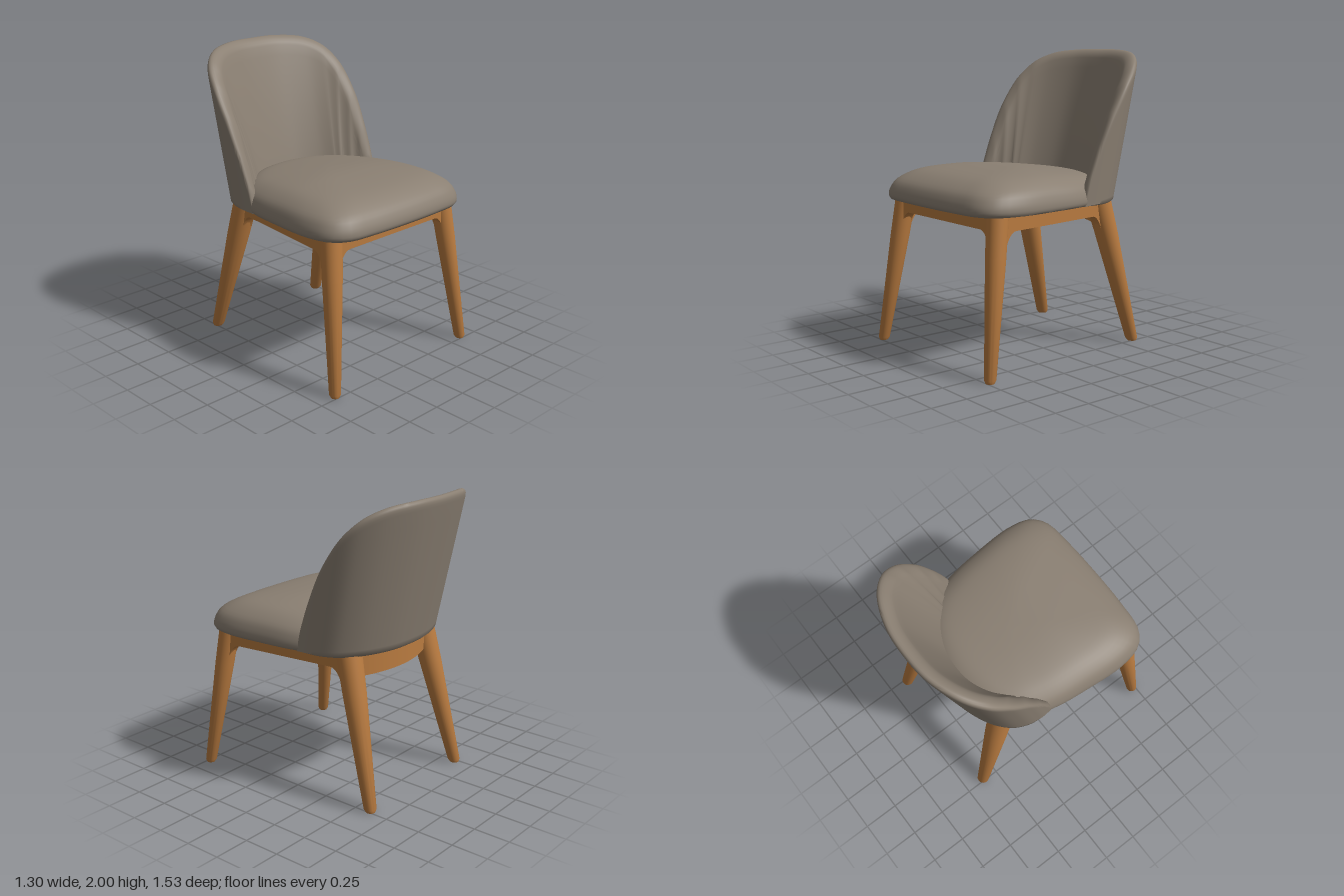
import * as THREE from 'three';
import { toCreasedNormals } from 'three/addons/utils/BufferGeometryUtils.js';

const V = (x, y, z) => new THREE.Vector3(x, y, z);
const step = THREE.MathUtils.smoothstep;

// Surface from rows x cols points; fn(i, j) returns a Vector3
function gridGeometry(rows, cols, fn, crease) {
  const pos = [], idx = [];
  for (let i = 0; i <= rows; i++)
    for (let j = 0; j <= cols; j++) pos.push(...fn(i, j).toArray());
  for (let i = 0; i < rows; i++)
    for (let j = 0; j < cols; j++) {
      const a = i * (cols + 1) + j, d = a + cols + 1;
      idx.push(a, a + 1, d + 1, a, d + 1, d);
    }
  const g = new THREE.BufferGeometry();
  g.setAttribute('position', new THREE.Float32BufferAttribute(pos, 3));
  g.setIndex(idx);
  return toCreasedNormals(g, crease);
}

// Domed cushion: one plan outline, stacked and shrunk upwards
function cushionGeometry() {
  const half = [[0.3, 0.757], [0.5, 0.732], [0.595, 0.655], [0.636, 0.49], [0.622, 0.2],
    [0.585, -0.07], [0.5, -0.3], [0.3, -0.46]];
  const pts = [V(0, 0, 0.765), ...half.map(([x, z]) => V(x, 0, z)), V(0, 0, -0.52),
    ...half.slice().reverse().map(([x, z]) => V(-x, 0, z))];
  const outline = new THREE.CatmullRomCurve3(pts, true);
  const profile = new THREE.SplineCurve([[0.985, 1.005], [1, 1.03], [0.985, 1.08], [0.93, 1.14],
    [0.79, 1.197], [0.6, 1.225], [0.32, 1.241], [0, 1.246]].map(p => new THREE.Vector2(...p)));
  const rows = 26, cols = 80;
  return gridGeometry(rows, cols, (i, j) => {
    const o = outline.getPointAt((j % cols) / cols);
    const p = i === 0 ? { x: 0, y: 1.003 } : i === 1 ? { x: 0.97, y: 1.003 }
      : profile.getPoint((i - 2) / (rows - 2));
    const s = Math.max(p.x, 0), z = o.z * s;
    const drop = 0.035 * step(-z, -0.25, 0.3) * (p.y - 1) / 0.245;
    return V(o.x * s, p.y - drop, z);
  }, 1.0);
}

// Wrap-around shell: columns follow the rim curve, each with a rounded top
function backrestGeometry() {
  // x, rim height, z at seat level
  const half = [[0.2, 1.998, -0.547], [0.4, 1.972, -0.47], [0.515, 1.905, -0.375], [0.568, 1.79, -0.275],
    [0.584, 1.6, -0.177], [0.581, 1.37, -0.11], [0.575, 1.13, -0.065]];
  const rim = new THREE.CatmullRomCurve3([
    ...half.slice().reverse().map(([x, y, z]) => V(-x, y, z)), V(0, 2, -0.565),
    ...half.map(p => V(...p))]);
  const side = 14, cap = 10, rows = side * 2 + cap + 1, cols = 100;
  return gridGeometry(rows, cols, (i, j) => {
    const t = 1 - j / cols, u = Math.abs(2 * t - 1);
    const p = rim.getPointAt(t), d = rim.getTangentAt(t);
    const n = V(-d.z, 0, d.x).normalize();
    const capH = Math.min(0.06 + 0.1 * u ** 3, 0.9 * (p.y - 1));
    const wall = p.y - capH - 1;
    let y = 1, across = 0;
    if (i <= side) y = 1 + wall * (i / side) ** 1.5;
    else if (i <= side + cap) {
      const a = Math.PI * (i - side) / cap;
      y = 1 + wall + capH * Math.sin(a);
      across = ((1 - Math.cos(a)) / 2) ** 1.4;
    } else if (i < rows) {
      y = 1 + wall * (1 - (i - side - cap) / side);
      across = 1;
    }
    // padding is thickest low down in the corners and thins towards the rim
    const low = 0.17 + 0.04 * step(u, 0, 0.4) - 0.145 * step(u, 0.4, 1);
    const edge = 0.08 - 0.015 * step(u, 0.3, 1);
    const thick = edge + (low - edge) * (1 - ((y - 1) / (p.y - 1)) ** 1.5);
    // the front ends close to a rounded edge
    const e = u > 0.94 ? Math.sqrt(Math.max(0, 1 - ((u - 0.94) / 0.06) ** 2)) : 1;
    const tuck = i === 0 || i === rows ? 0.018 : 0;
    const off = thick * (0.5 + (across - 0.5) * e) + tuck * e;
    return V((p.x + n.x * off) * (1 + 0.05 * (y - 1)), y, p.z + n.z * off - 0.21 * (y - 1));
  }, 1.0);
}

// Tapered round leg, sheared from foot to top so both ends stay level
function legGeometry(foot, top, r0, r1) {
  const g = new THREE.LatheGeometry([[0, 0], [r0 * 0.75, 0], [r0, 0.02], [r0 + (r1 - r0) * 0.85, 0.75],
    [r1, 1.01], [0, 1.01]].map(p => new THREE.Vector2(...p)), 28);
  const a = g.attributes.position;
  for (let i = 0; i < a.count; i++) {
    const y = a.getY(i);
    a.setX(i, a.getX(i) + foot[0] + (top[0] - foot[0]) * y);
    a.setZ(i, a.getZ(i) + foot[1] + (top[1] - foot[1]) * y);
  }
  return toCreasedNormals(g, 0.6);
}

// Straight rail with fillets running down into the legs at both ends
function railGeometry(a, b, bottom, width) {
  const dx = b[0] - a[0], dz = b[1] - a[1], L = Math.hypot(dx, dz);
  const s = new THREE.Shape();
  s.moveTo(0, 1.005);
  s.lineTo(0, bottom - 0.1);
  s.lineTo(0.025, bottom - 0.1);
  s.quadraticCurveTo(0.06, bottom, 0.115, bottom);
  s.lineTo(L - 0.115, bottom);
  s.quadraticCurveTo(L - 0.06, bottom, L - 0.025, bottom - 0.1);
  s.lineTo(L, bottom - 0.1);
  s.lineTo(L, 1.005);
  const g = new THREE.ExtrudeGeometry(s, { depth: width, bevelEnabled: false, curveSegments: 10 });
  g.translate(0, 0, -width / 2);
  g.rotateY(-Math.atan2(dz, dx));
  g.translate(a[0], 0, a[1]);
  return toCreasedNormals(g, 0.6);
}

// Bowed rail under the backrest
function backRailGeometry() {
  const s = new THREE.Shape();
  s.moveTo(-0.37, 0.41);
  s.quadraticCurveTo(0, 0.575, 0.37, 0.41);
  s.lineTo(0.35, 0.34);
  s.quadraticCurveTo(0, 0.505, -0.35, 0.34);
  const g = new THREE.ExtrudeGeometry(s, { depth: 0.16, bevelEnabled: false, curveSegments: 24 });
  g.rotateX(-Math.PI / 2);
  g.translate(0, 0.845, 0);
  return toCreasedNormals(g, 0.6);
}

export function createModel() {
  const fabric = new THREE.MeshStandardMaterial({ color: 0x8a7f72 });
  fabric.name = 'taupe fabric';
  const wood = new THREE.MeshStandardMaterial({ color: 0xb97b40 });
  wood.name = 'oak wood';

  const chair = new THREE.Group();
  chair.name = 'chair';
  const add = (name, geometry, material) => {
    const m = new THREE.Mesh(geometry, material);
    m.name = name;
    chair.add(m);
  };

  add('seatCushion', cushionGeometry(), fabric);
  add('backrest', backrestGeometry(), fabric);

  // Legs and side rails, mirrored
  for (const [side, k] of [['left', 1], ['right', -1]]) {
    add(side + 'FrontLeg', legGeometry([0.613 * k, 0.727], [0.515 * k, 0.59], 0.038, 0.07), wood);
    add(side + 'BackLeg', legGeometry([0.483 * k, -0.61], [0.395 * k, -0.36], 0.042, 0.085), wood);
    add(side + 'SideRail', railGeometry([0.53 * k, 0.59], [0.41 * k, -0.36], 0.903, 0.07), wood);
  }
  add('frontRail', railGeometry([-0.515, 0.605], [0.515, 0.605], 0.912, 0.07), wood);
  add('backRail', backRailGeometry(), wood);
  return chair;
}
